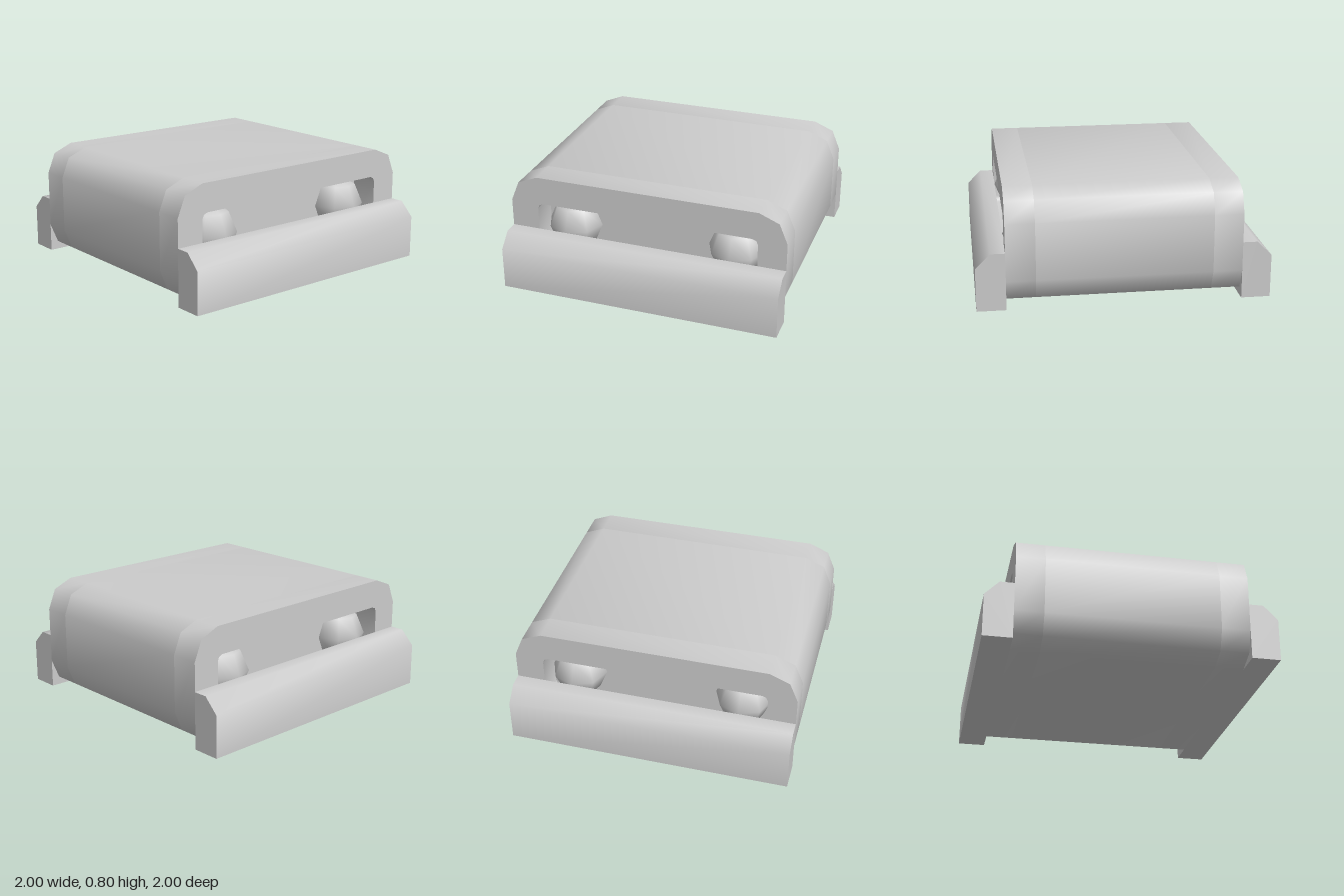
import * as THREE from 'three';
import { toCreasedNormals } from 'three/addons/utils/BufferGeometryUtils.js';

// Rectangle outline centred on (0, 0.4) with two-facet rounded corners
function roundedOutline(halfW, halfH, r) {
  const points = [];
  const corners = [[1, 1], [-1, 1], [-1, -1], [1, -1]];
  corners.forEach(([sx, sy], i) => {
    for (let k = 0; k <= 2; k++) {
      const a = i * Math.PI / 2 + k * Math.PI / 4;
      points.push(new THREE.Vector2(
        sx * (halfW - r) + r * Math.cos(a),
        0.4 + sy * (halfH - r) + r * Math.sin(a)));
    }
  });
  return points;
}

function extrude(shape, depth) {
  return new THREE.ExtrudeGeometry(shape, { depth, bevelEnabled: false });
}

export function createModel() {
  const model = new THREE.Group();
  const material = new THREE.MeshStandardMaterial({ color: 0xcccccc });

  const add = (name, geometry, parent = model) => {
    const mesh = new THREE.Mesh(geometry, material);
    mesh.name = name;
    parent.add(mesh);
    return mesh;
  };

  // Solid middle of the body, which closes the pockets at their inner ends
  const outline = roundedOutline(1, 0.4, 0.2);
  const core = extrude(new THREE.Shape(outline), 1.2).translate(0, 0, -0.6);
  add('bodyCore', toCreasedNormals(core, 0.9));

  // Body rim around each pocket
  const rimShape = new THREE.Shape(outline);
  rimShape.holes.push(new THREE.Path(roundedOutline(0.8, 0.2, 0.04)));
  const rim = toCreasedNormals(extrude(rimShape, 0.2).translate(0, 0, 0.6), 0.9);

  // Bar with a bevelled outer edge, drawn as (z, y) and swept along x
  const barShape = new THREE.Shape([
    [0.8, 0], [1, 0], [1, 0.3], [0.9, 0.4], [0.8, 0.4],
  ].map(([z, y]) => new THREE.Vector2(z, y)));
  const bar = toCreasedNormals(
    extrude(barShape, 2).rotateY(-Math.PI / 2).translate(1, 0, 0), 0.9);

  const bead = new THREE.SphereGeometry(0.2, 8, 4);

  // Both ends are the same, turned half a circle
  for (const [name, angle] of [['frontEnd', 0], ['backEnd', Math.PI]]) {
    const end = new THREE.Group();
    end.name = name;
    end.rotation.y = angle;
    add('pocketRim', rim, end);
    add('endBar', bar, end);
    for (const side of [-1, 1]) {
      add('roundBead', bead, end).position.set(side * 0.6, 0.4, 0.6);
    }
    model.add(end);
  }
  return model;
}
